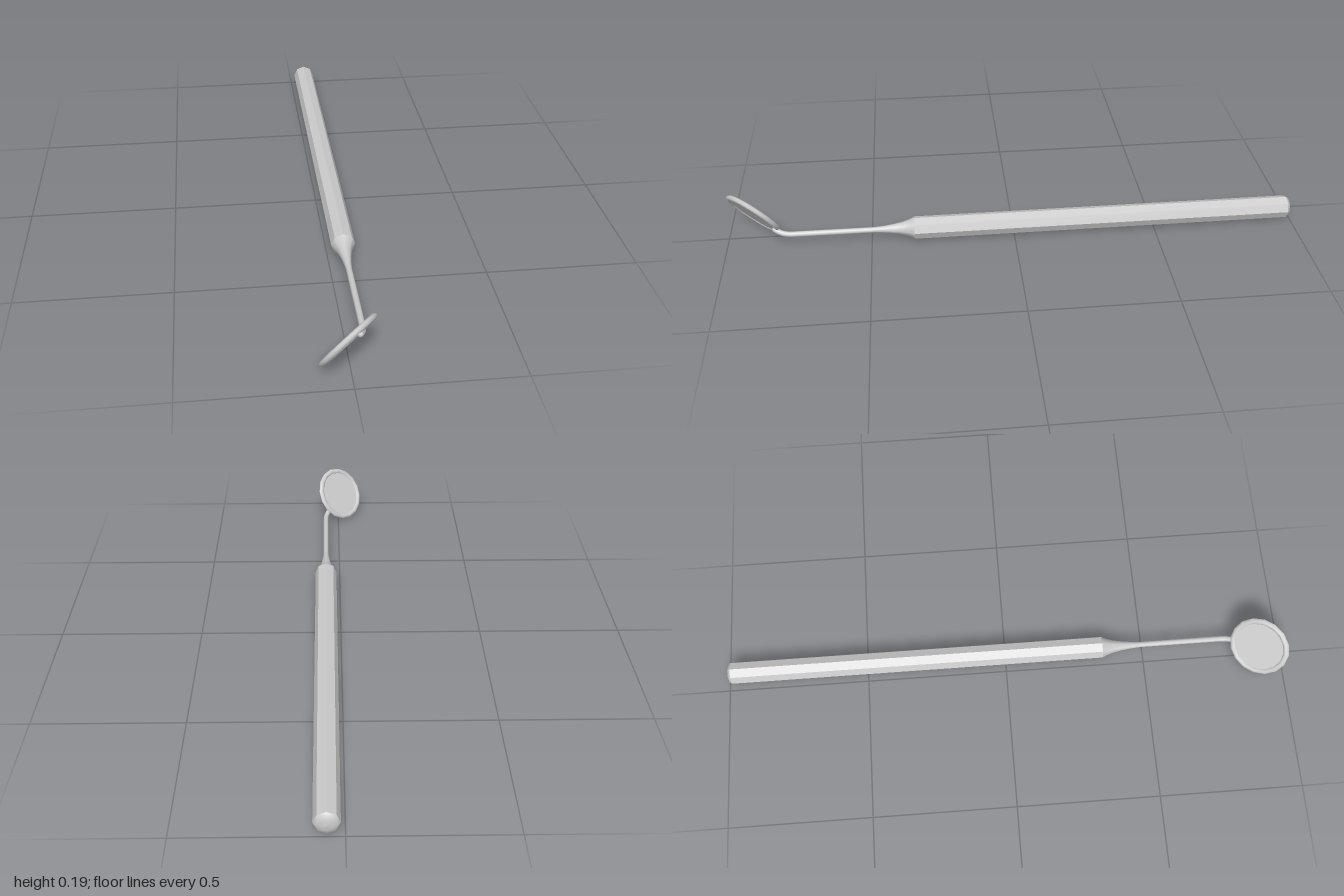
import * as THREE from 'three';

const AXIS_X = 0.053, AXIS_Y = 0.041; // long axis of the handle

export function createModel() {
  const model = new THREE.Group();
  const smooth = new THREE.MeshStandardMaterial({ color: 0xcccccc });
  const faceted = new THREE.MeshStandardMaterial({ color: 0xcccccc, flatShading: true });

  const add = (name, geometry, material, parent = model) => {
    const mesh = new THREE.Mesh(geometry, material);
    mesh.name = name;
    parent.add(mesh);
    return mesh;
  };
  const lathe = (points, sides) =>
    new THREE.LatheGeometry(points.map(([r, h]) => new THREE.Vector2(r, h)), sides);
  // Eight-sided turned part along the handle axis, profile as [radius, z]
  const turned = (name, points, material) =>
    add(name, lathe(points, 8).rotateX(Math.PI / 2), material).position.set(AXIS_X, AXIS_Y, 0);

  // Octagonal handle with a domed butt and a concave neck
  turned('handle', [[0.04, -0.985], [0.04, 0.35]], faceted);
  turned('handleEnd', [[0, -1], [0.018, -0.998], [0.033, -0.994], [0.04, -0.985]], smooth);
  turned('neck', [[0.04, 0.35], [0.032, 0.366], [0.024, 0.39], [0.018, 0.42],
    [0.013, 0.455], [0.01, 0.49]], smooth);

  // Thin rod, bent up and sideways to meet the rim
  const bend = new THREE.Vector3(AXIS_X, AXIS_Y + 0.001, 0.775);
  const tip = new THREE.Vector3(0.039, 0.056, 0.832);
  const path = new THREE.CurvePath();
  path.add(new THREE.LineCurve3(new THREE.Vector3(AXIS_X, AXIS_Y, 0.47), bend));
  path.add(new THREE.QuadraticBezierCurve3(bend, new THREE.Vector3(AXIS_X, AXIS_Y + 0.002, 0.808), tip));
  add('rod', new THREE.TubeGeometry(path, 40, 0.0102, 8, false), smooth);
  add('rodTip', new THREE.SphereGeometry(0.0102, 8, 6), smooth).position.copy(tip);

  // Round tilted mirror head: rounded rim with a plate on each side
  const head = new THREE.Group();
  head.name = 'mirrorHead';
  head.position.set(-0.007, 0.097, 0.905);
  head.quaternion.setFromUnitVectors(
    new THREE.Vector3(0, 1, 0), new THREE.Vector3(-0.61, 0.55, -0.57).normalize());
  model.add(head);

  const rim = [];
  for (let i = 0; i <= 10; i++) {
    const a = (i / 10) * Math.PI * 2;
    rim.push([0.0985 + 0.0105 * Math.cos(a), 0.009 * Math.sin(a)]);
  }
  add('rim', lathe(rim, 16), smooth, head);
  add('mirrorFace', new THREE.CircleGeometry(0.092, 16).rotateX(-Math.PI / 2), smooth, head)
    .position.y = 0.004;
  add('backPlate', new THREE.CircleGeometry(0.092, 16).rotateX(Math.PI / 2), smooth, head)
    .position.y = -0.0055;

  return model;
}
